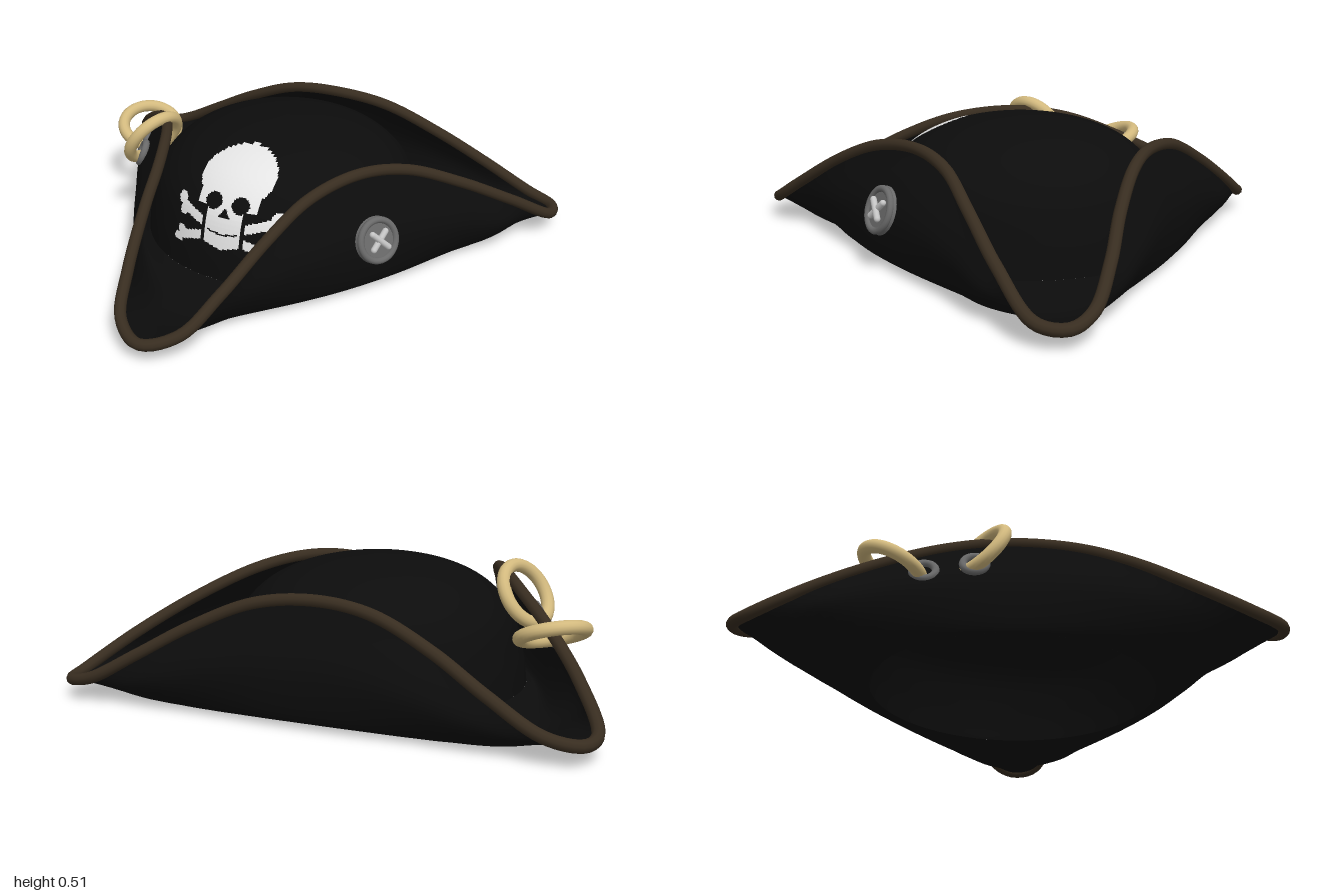
import * as THREE from 'three';

const V = (x, y, z) => new THREE.Vector3(x, y, z);
const mat = (name, color, side = THREE.FrontSide) => {
  const m = new THREE.MeshStandardMaterial({ color, side });
  m.name = name;
  return m;
};

export function createModel() {
  const hat = new THREE.Group();
  hat.name = 'tricornHat';
  const felt = mat('black felt', 0x0c0c0c, THREE.DoubleSide);
  const braid = mat('brown braid', 0x382d20);
  const bone = mat('bone white', 0xe4e4e4, THREE.DoubleSide);
  const gold = mat('pale gold', 0xd2b97e);
  const pewter = mat('pewter grey', 0x6a6a6a);
  const thread = mat('light thread', 0xc4c4c4);

  const add = (name, geo, material, parent = hat) => {
    const mesh = new THREE.Mesh(geo, material);
    mesh.name = name;
    parent.add(mesh);
    return mesh;
  };
  // A group whose +z axis points along a normal
  const facing = (name, pos, normal) => {
    const g = new THREE.Group();
    g.name = name;
    g.position.copy(pos);
    g.lookAt(pos.clone().add(normal));
    hat.add(g);
    return g;
  };
  const surface = (pos, idx) => {
    const geo = new THREE.BufferGeometry();
    geo.setAttribute('position', new THREE.Float32BufferAttribute(pos, 3));
    geo.setIndex(idx);
    geo.computeVertexNormals();
    return geo;
  };

  // Crown: hollow dome
  const CZ = -0.25, BASE = 0.56;
  const profile = new THREE.SplineCurve([
    [BASE, 0.04], [0.545, 0.16], [0.505, 0.3], [0.42, 0.4],
    [0.3, 0.465], [0.15, 0.502], [0, 0.512],
  ].map(([r, y]) => new THREE.Vector2(r, y))).getPoints(48);
  profile[48].x = 0;
  add('crown', new THREE.LatheGeometry(profile, 96), felt).position.z = CZ;
  const crownRadius = (y) => {
    const i = Math.max(1, profile.findIndex((p) => p.y >= y));
    const a = profile[i - 1], b = profile[i];
    return a.x + (b.x - a.x) * (y - a.y) / (b.y - a.y);
  };

  // Brim stations from back middle to front tip: rim x, y, z, then bulge x, z
  const stations = [
    [0, 0.43, -0.755, 0, -0.87], [0.22, 0.405, -0.77, 0.2, -0.877],
    [0.45, 0.31, -0.805, 0.42, -0.885], [0.65, 0.2, -0.848, 0.6, -0.88],
    [0.84, 0.1, -0.867, 0.75, -0.84], [0.955, 0.075, -0.83, 0.84, -0.755],
    [0.975, 0.085, -0.73, 0.86, -0.66], [0.86, 0.2, -0.55, 0.865, -0.5],
    [0.7, 0.32, -0.37, 0.765, -0.33], [0.54, 0.41, -0.2, 0.645, -0.135],
    [0.42, 0.44, -0.02, 0.53, 0.05], [0.32, 0.41, 0.2, 0.41, 0.255],
    [0.26, 0.33, 0.4, 0.3, 0.43], [0.19, 0.2, 0.63, 0.18, 0.59],
    [0.12, 0.105, 0.79, 0.1, 0.71], [0, 0.075, 0.862, 0, 0.74],
  ];
  const mirrored = stations.slice(1, -1).reverse().map(([x, y, z, mx, mz]) => [-x, y, z, -mx, mz]);
  const ring = [...stations, ...mirrored];
  const rim = new THREE.CatmullRomCurve3(ring.map(([x, y, z]) => V(x, y, z)), true);
  const bulge = new THREE.CatmullRomCurve3(
    ring.map(([, y, , mx, mz]) => V(mx, 0.045 + 0.47 * (y - 0.07), mz)), true);

  // Brim: cross-sections from the crown base, under the fold, up to the rim
  const N = 180, K = 16, pos = [], idx = [];
  for (let i = 0; i < N; i++) {
    const r = rim.getPoint(i / N), m = bulge.getPoint(i / N);
    const base = V(m.x, 0, m.z - CZ).setLength(BASE).add(V(0, 0.04, CZ));
    const fold = base.clone().lerp(m, 0.6);
    fold.y = 0.006 + 0.025 * (r.y - 0.07) / 0.37;
    const section = new THREE.CatmullRomCurve3([base, fold, m, r]);
    for (let k = 0; k <= K; k++) pos.push(...section.getPoint(k / K).toArray());
    for (let k = 0; k < K; k++) {
      const a = i * (K + 1) + k, b = ((i + 1) % N) * (K + 1) + k;
      idx.push(a, a + 1, b, b, a + 1, b + 1);
    }
  }
  add('brim', surface(pos, idx), felt);
  add('brimTrim', new THREE.TubeGeometry(rim, 260, 0.022, 10, true), braid);

  // Skull and crossed bones: small cells laid on the crown, outside and inside
  const inEllipse = (x, y, cx, cy, rx, ry) => ((x - cx) / rx) ** 2 + ((y - cy) / ry) ** 2 < 1;
  const inBone = (x, y, s) => {
    const ax = -0.185, ay = 0.23 + s * 0.055, dx = 0.37, dy = -s * 0.11;
    const t = THREE.MathUtils.clamp(((x - ax) * dx + (y - ay) * dy) / (dx * dx + dy * dy), 0, 1);
    if (Math.hypot(x - ax - t * dx, y - ay - t * dy) < 0.017) return true;
    return [-1, 1].some((e) => [-1, 1].some((k) =>
      Math.hypot(x - e * (0.194 - 0.008 * k * s * e), y - 0.23 + e * s * 0.057 - k * 0.018) < 0.021));
  };
  const inSkull = (x, y) => {
    const u = Math.abs(x);
    if (inEllipse(u, y, 0.057, 0.333, 0.036, 0.027)) return false;
    if (y > 0.283 && y < 0.315 && u < (0.315 - y) * 0.75 + 0.003) return false;
    if (u < 0.065 && Math.abs(y - 0.222 - u * 0.15) < 0.003) return false;
    if (inEllipse(u, y, 0, 0.405, 0.152, 0.078)) return true;
    if (u < 0.125 && y > 0.315 && y < 0.4) return true;
    if (u < 0.075 && y > 0.165 + u * 0.25 && y <= 0.32) return true;
    if (u < 0.09 && y > 0.165) return false;
    return inBone(x, y, 1) || inBone(x, y, -1);
  };
  const C = 0.005, patch = [], faces = [];
  for (const lift of [0.005, -0.005]) {
    for (let x = -0.225; x < 0.224; x += C) {
      for (let y = 0.145; y < 0.485; y += C) {
        if (!inSkull(x + C / 2, y + C / 2)) continue;
        const n = patch.length / 3;
        for (const [px, py] of [[x, y], [x + C, y], [x + C, y + C], [x, y + C]]) {
          const r = crownRadius(py);
          patch.push(px, py, CZ + Math.sqrt(Math.max(0, r * r - px * px)) + lift);
        }
        faces.push(n, n + 1, n + 2, n, n + 2, n + 3);
      }
    }
  }
  add('skullAndBones', surface(patch, faces), bone);

  // Stitched button on the left side
  const button = facing('button', V(0.535, 0.23, 0.06), V(0.8, 0.3, 0.5));
  add('buttonDisc', new THREE.CylinderGeometry(0.086, 0.09, 0.02, 40), pewter, button).rotation.x = Math.PI / 2;
  add('buttonRim', new THREE.TorusGeometry(0.077, 0.013, 10, 40), pewter, button).position.z = 0.008;
  for (const s of [-1, 1]) {
    const stitch = add('stitch', new THREE.CapsuleGeometry(0.012, 0.085, 6, 12), thread, button);
    stitch.rotation.z = s * 0.8;
    stitch.position.z = 0.02 + s * 0.003;
  }

  // Eyelets and hoops on the right side
  for (const p of [V(-0.665, 0.265, -0.225), V(-0.575, 0.295, -0.07)]) {
    const eyelet = facing('eyelet', p, V(-0.8, 0.4, 0.5));
    add('eyeletRing', new THREE.TorusGeometry(0.042, 0.015, 10, 32), pewter, eyelet);
  }
  const hoops = [
    [V(-0.705, 0.29, -0.335), V(0.28, 0.95, 0.33)],
    [V(-0.525, 0.37, -0.08), V(-0.8, 0.5, -0.25)],
  ];
  for (const [p, n] of hoops) {
    add('hoop', new THREE.TorusGeometry(0.115, 0.025, 14, 48), gold, facing('hoopMount', p, n));
  }
  return hat;
}
